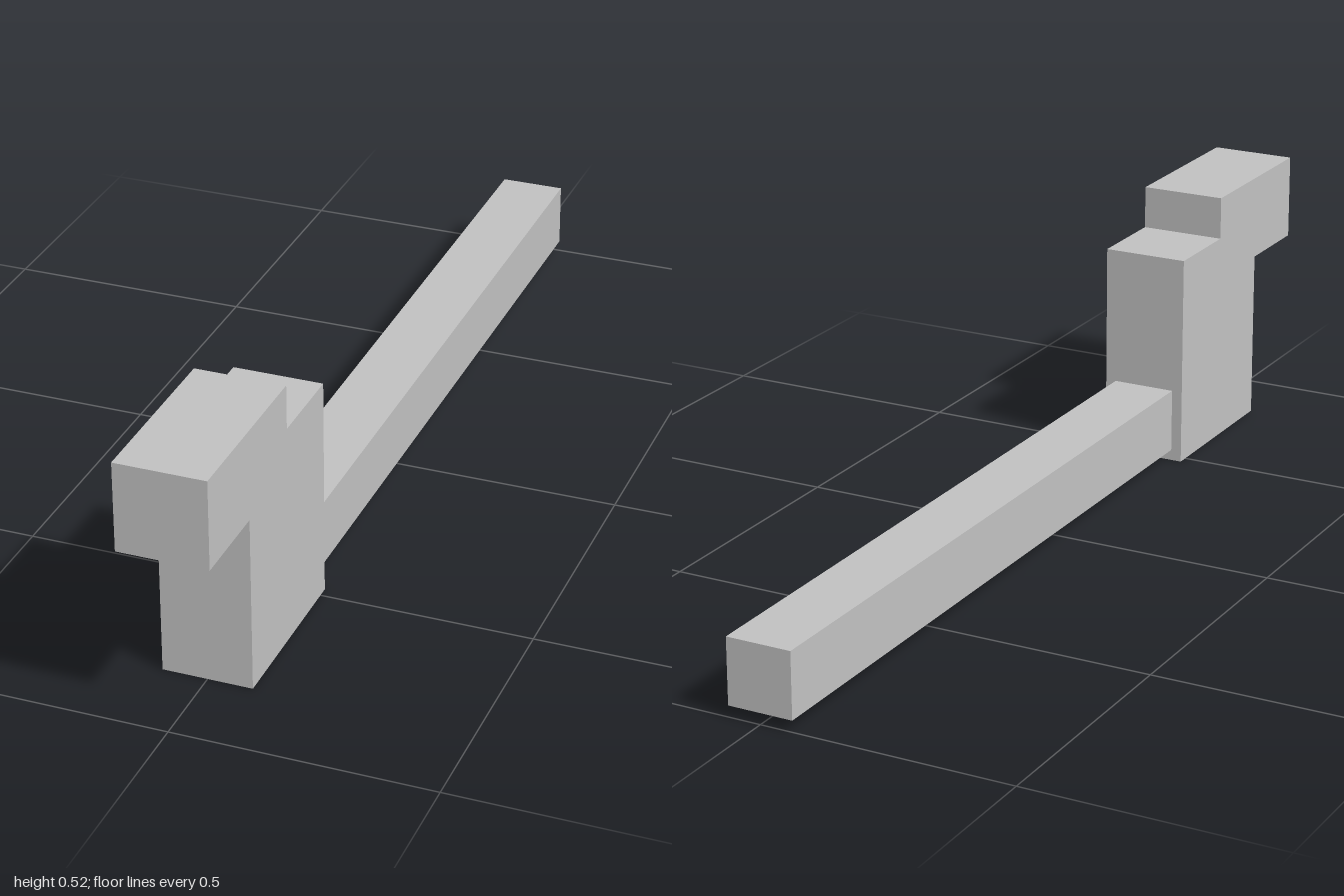
import * as THREE from 'three';

export function createModel() {
  const model = new THREE.Group();
  const grey = new THREE.MeshStandardMaterial({ color: 0xc0c0c0 });
  grey.name = 'plain grey';

  // Stepped head: one side profile as [z, y], extruded across the width
  const width = 0.174;
  const profile = [
    [0.826, 0], [0.478, 0], [0.478, 0.435], [0.652, 0.435],
    [0.652, 0.522], [1, 0.522], [1, 0.348], [0.826, 0.348],
  ];
  const shape = new THREE.Shape(profile.map(([z, y]) => new THREE.Vector2(-z, y)));
  const headGeometry = new THREE.ExtrudeGeometry(shape, { depth: width, bevelEnabled: false });
  headGeometry.translate(0, 0, -width / 2).rotateY(Math.PI / 2);
  const head = new THREE.Mesh(headGeometry, grey);
  head.name = 'steppedHead';
  model.add(head);

  // Long square bar running back from the head
  const thickness = 0.13, back = -1, front = 0.478;
  const bar = new THREE.Mesh(new THREE.BoxGeometry(thickness, thickness, front - back), grey);
  bar.name = 'longBar';
  bar.position.set(0, 0.022 + thickness / 2, (front + back) / 2);
  model.add(bar);

  return model;
}
